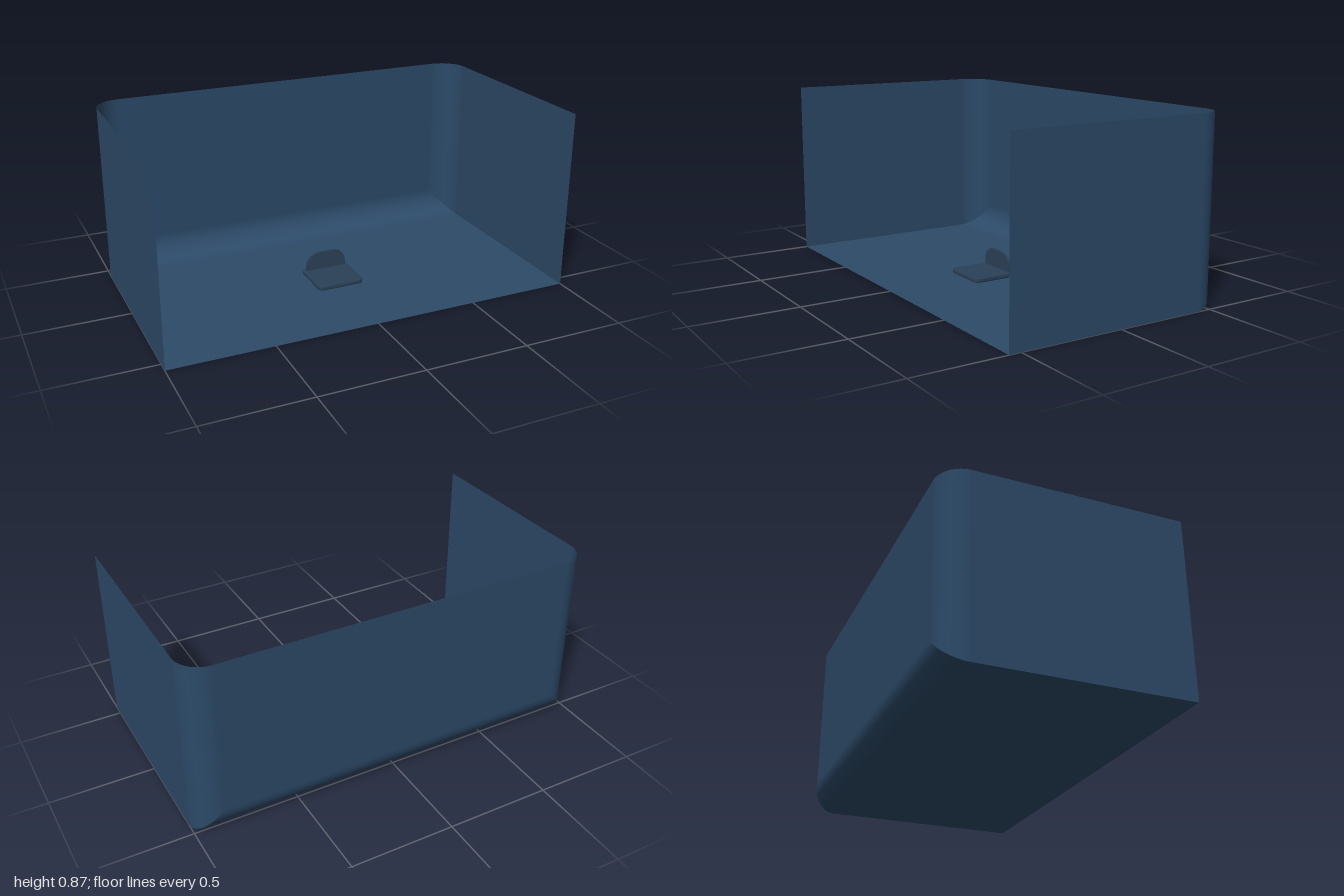
import * as THREE from 'three';

const W = 1, H = 0.87, D = 0.557, R = 0.125, STEPS = 16;
const shellMat = new THREE.MeshStandardMaterial({ color: 0x2c4a68, side: THREE.DoubleSide });
const seatMat = new THREE.MeshStandardMaterial({ color: 0x2a4157 });

// Smooth strip of quads between matching pairs of points (a, b) sharing a normal n
function strip(name, rows) {
  const pos = [], nor = [], idx = [];
  rows.forEach(({ a, b, n }, i) => {
    pos.push(...a, ...b);
    nor.push(...n, ...n);
    const k = 2 * i;
    if (i) idx.push(k - 2, k - 1, k, k - 1, k + 1, k);
  });
  const g = new THREE.BufferGeometry();
  g.setAttribute('position', new THREE.Float32BufferAttribute(pos, 3));
  g.setAttribute('normal', new THREE.Float32BufferAttribute(nor, 3));
  g.setIndex(idx);
  const mesh = new THREE.Mesh(g, shellMat);
  mesh.name = name;
  return mesh;
}

// Quarter-round profile: inset from the side, depth, outward direction
const arc = Array.from({ length: STEPS + 1 }, (_, i) => {
  const t = (i / STEPS) * Math.PI / 2, c = Math.cos(t), s = Math.sin(t);
  return { d: R * (1 - c), z: -D + R - R * s, c, s };
});
const profile = [{ d: 0, z: D, c: 1, s: 0 }, ...arc];

// Walls: left side, rounded corner, back, mirrored corner, right side
function walls() {
  const half = (sx) => profile.map(({ d, z, c, s }) => ({
    a: [sx * (W - d), d, z], b: [sx * (W - d), H, z], n: [sx * c, 0, -s],
  }));
  return strip('walls', [...half(1), ...half(-1).reverse()].reverse());
}

// Floor curving up into the back wall, mitred against the corner rounds
function floor() {
  const rows = profile.map(({ d, z, c, s }) => ({
    a: [-(W - d), d, z], b: [W - d, d, z], n: [0, -c, -s],
  }));
  return strip('floor', rows.reverse());
}

function roundedRect(w, h, r) {
  const s = new THREE.Shape();
  s.moveTo(-w + r, -h);
  s.lineTo(w - r, -h);
  s.absarc(w - r, -h + r, r, -Math.PI / 2, 0);
  s.absarc(w - r, h - r, r, 0, Math.PI / 2);
  s.absarc(-w + r, h - r, r, Math.PI / 2, Math.PI);
  s.absarc(-w + r, -h + r, r, Math.PI, Math.PI * 1.5);
  return s;
}

// Small bracket: bevelled base plate with an upright domed tab
function bracket() {
  const group = new THREE.Group();
  group.name = 'bracket';
  const b = 0.006;
  const plateGeo = new THREE.ExtrudeGeometry(roundedRect(0.112, 0.108, 0.018), {
    depth: 0.012, bevelThickness: b, bevelSize: b, bevelSegments: 2, curveSegments: 6,
  });
  const plate = new THREE.Mesh(plateGeo.rotateX(-Math.PI / 2).translate(0, b + 0.002, 0.043), seatMat);
  plate.name = 'basePlate';

  const w = 0.105, top = 0.116;
  const dome = new THREE.Shape();
  dome.moveTo(-w, 0.01);
  dome.lineTo(w, 0.01);
  dome.lineTo(w, 0.045);
  dome.bezierCurveTo(w, 0.09, 0.075, top, 0.03, top);
  dome.lineTo(-0.03, top);
  dome.bezierCurveTo(-0.075, top, -w, 0.09, -w, 0.045);
  const tab = new THREE.Mesh(new THREE.ExtrudeGeometry(dome, {
    depth: 0.012, bevelEnabled: false, curveSegments: 12,
  }).translate(0, 0, -0.047), seatMat);
  tab.name = 'uprightTab';
  group.add(plate, tab);
  return group;
}

export function createModel() {
  const model = new THREE.Group();
  model.name = 'alcove';
  model.add(walls(), floor(), bracket());
  return model;
}
